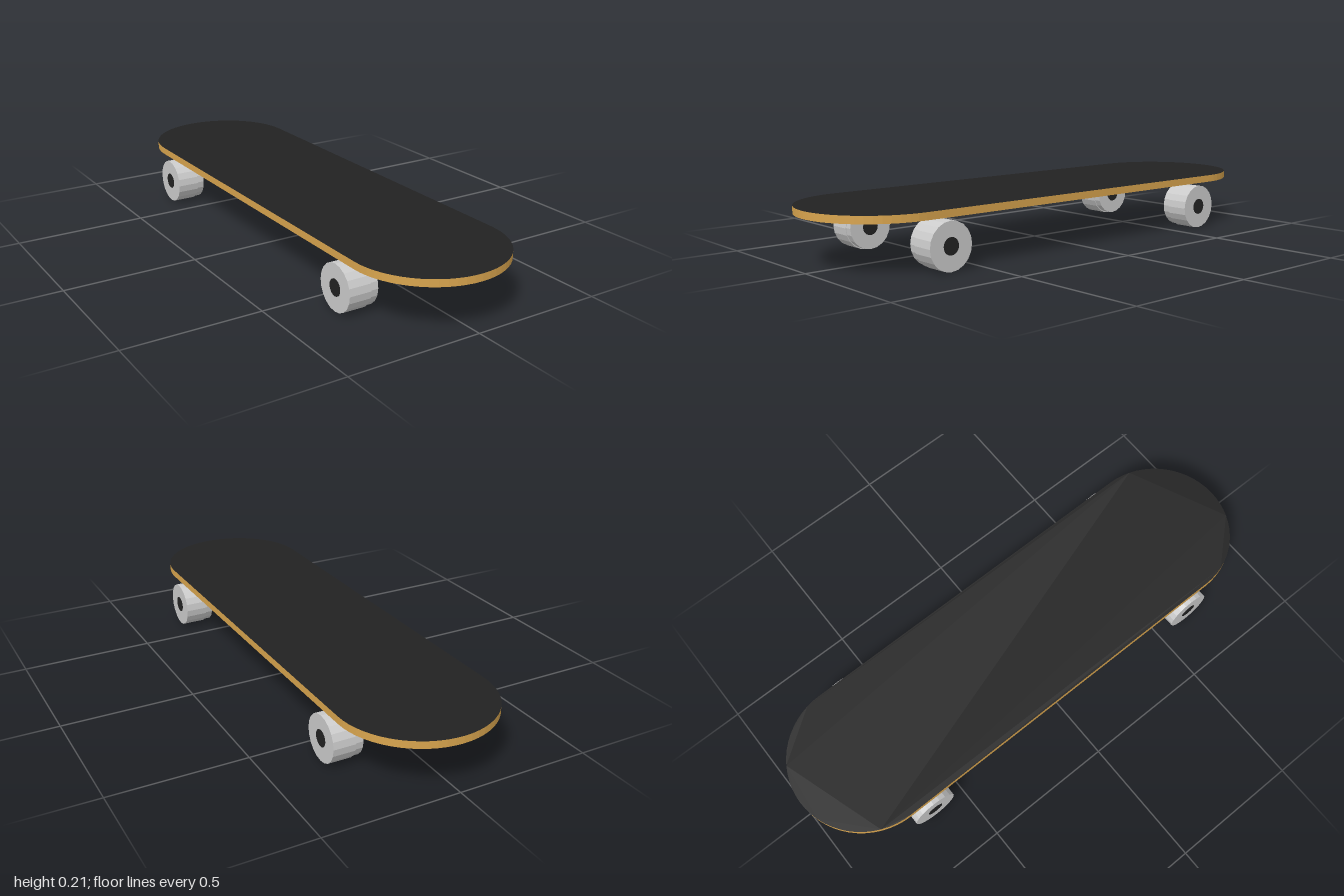
import * as THREE from 'three';

const grip = new THREE.MeshStandardMaterial({ color: 0x222222 });
const wood = new THREE.MeshStandardMaterial({ color: 0xd9a54e });
const grey = new THREE.MeshStandardMaterial({ color: 0xcccccc, flatShading: true });

// Flat board with semicircular ends, dark faces and a wooden edge
function makeDeck() {
  const r = 0.285, straight = 1 - r, thickness = 0.027;
  const outline = new THREE.Shape();
  outline.absarc(0, straight, r, 0, Math.PI, false);
  outline.absarc(0, -straight, r, Math.PI, 2 * Math.PI, false);
  outline.closePath();
  const geometry = new THREE.ExtrudeGeometry(outline, { depth: thickness, bevelEnabled: false, curveSegments: 15 });
  geometry.rotateX(-Math.PI / 2);
  const deck = new THREE.Mesh(geometry, [grip, wood]);
  deck.name = 'deck';
  deck.position.y = 0.18;
  return deck;
}

// Cylinder lying along x between x0 and x1
function axialCylinder(name, radius, x0, x1, y, sides, material) {
  const geometry = new THREE.CylinderGeometry(radius, radius, x1 - x0, sides);
  geometry.rotateZ(Math.PI / 2);
  const mesh = new THREE.Mesh(geometry, material);
  mesh.name = name;
  mesh.position.set((x0 + x1) / 2, y, 0);
  return mesh;
}

// Wheel with a slightly smaller inner rim and a dark core showing at both ends
function makeWheel(name, side, z) {
  const wheel = new THREE.Group();
  wheel.name = name;
  const span = (a, b) => (side > 0 ? [a, b] : [-b, -a]);
  wheel.add(
    axialCylinder('tread', 0.086, ...span(0.215, 0.3), 0.086, 20, grey),
    axialCylinder('innerRim', 0.084, ...span(0.187, 0.215), 0.088, 20, grey),
    axialCylinder('core', 0.031, ...span(0.186, 0.301), 0.087, 20, grip)
  );
  wheel.position.z = z;
  return wheel;
}

export function createModel() {
  const model = new THREE.Group();
  model.name = 'skateboard';
  model.add(makeDeck());
  for (const [end, z] of [['front', 0.63], ['back', -0.63]]) {
    for (const [label, side] of [['Left', 1], ['Right', -1]]) {
      model.add(makeWheel(`${end}${label}Wheel`, side, z));
    }
  }
  return model;
}
